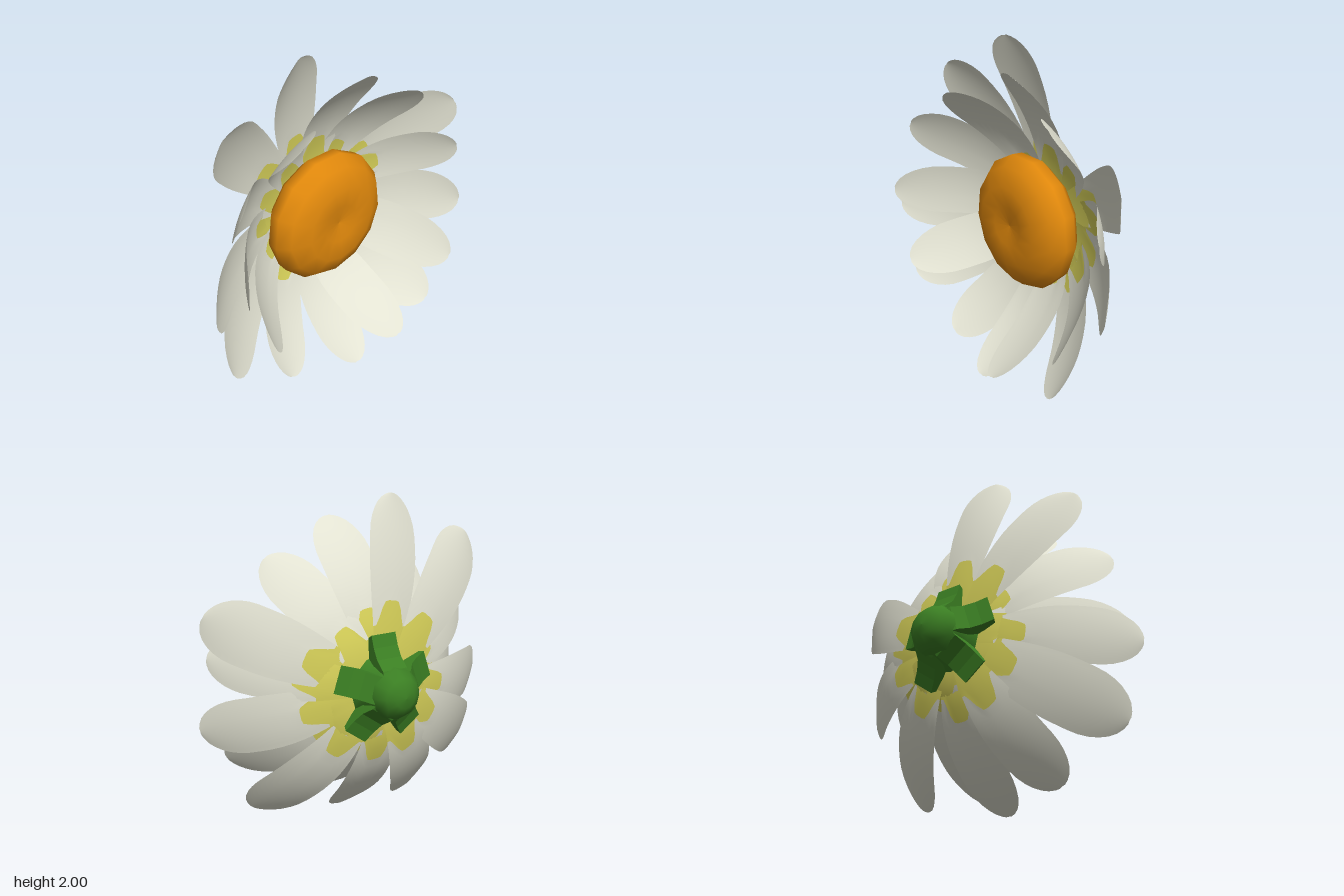
import * as THREE from 'three';

const mat = (name, color, side = THREE.FrontSide) => {
  const m = new THREE.MeshStandardMaterial({ color, side });
  m.name = name;
  return m;
};

const CX = 0.02, CY = 0.93, R0 = 0.08; // flower axis and radius where petals start

// Each petal: tip x, tip y, tip z, half width, yellow reach, twist
const PETALS = [
  [-0.17, 2.0, 0.01, 0.165, 0.5, 0.04], [0.14, 1.87, 0.22, 0.165, 0.46, 0],
  [0.52, 1.66, 0.25, 0.16, 0.43, 0], [0.96, 1.4, 0.14, 0.18, 0.52, -0.05],
  [0.91, 1.14, 0.23, 0.15, 0.54, 0], [0.97, 0.72, 0.23, 0.17, 0.5, 0],
  [0.75, 0.46, 0.37, 0.17, 0.47, 0], [0.63, 0.14, 0.3, 0.175, 0.48, 0],
  [0.25, 0.14, 0.43, 0.165, 0.41, 0], [0, 0.0, 0.33, 0.16, 0.48, 0],
  [-0.44, 0.07, 0.22, 0.165, 0.5, 0], [-0.87, 0.35, 0.23, 0.185, 0.48, 0],
  [-0.68, 0.53, 0.38, 0.16, 0.4, 0], [-0.98, 0.79, 0.25, 0.165, 0.48, 0],
  [-0.85, 0.95, 0.37, 0.155, 0.43, 0], [-0.81, 1.37, 0.26, 0.165, 0.42, 0],
  [-0.72, 1.73, 0.04, 0.185, 0.5, 0], [-0.38, 1.66, 0.28, 0.165, 0.39, 0],
];

// Grid surface from point(u, v), u in -1..1 across and v in 0..1 along
function surface(point, nu, nv) {
  const pos = [], idx = [];
  for (let j = 0; j <= nv; j++) {
    for (let i = 0; i <= nu; i++) pos.push(...point((2 * i) / nu - 1, j / nv));
  }
  for (let j = 0; j < nv; j++) {
    for (let i = 0; i < nu; i++) {
      const a = j * (nu + 1) + i, b = a + 1, c = a + nu + 1, d = c + 1;
      idx.push(a, c, b, b, c, d);
    }
  }
  const g = new THREE.BufferGeometry();
  g.setAttribute('position', new THREE.Float32BufferAttribute(pos, 3));
  g.setIndex(idx);
  g.computeVertexNormals();
  return g;
}

function petal([tx, ty, tz, W, reach, twist], i, white, yellow) {
  const dx = tx - CX, dy = ty - CY, R = Math.hypot(dx, dy);
  const cx = dx / R, cy = dy / R, L = R - R0;
  const z0 = -0.18 + (i % 2) * 0.015;
  // Narrow root, broad blade, rounded tip, forward curl, slight twist and cup
  const at = (u, t) => {
    const tip = t > 0.78 ? Math.sqrt(Math.max(0.012, 1 - ((t - 0.78) / 0.22) ** 2)) : 1;
    const w = W * (0.35 + 0.65 * THREE.MathUtils.smoothstep(t, -0.15, 0.7)) * tip;
    const r = R0 + L * t, s = u * w;
    const z = z0 + (tz - z0) * t ** 2.5 + (0.025 * u * u * t + twist * u * t ** 3) * tip;
    return [r * cx - s * cy, r * cy + s * cx, z];
  };
  // Edge of the yellow root: a blunt finger along the midline
  const edge = (u) =>
    (reach - 0.15 * THREE.MathUtils.smoothstep(Math.abs(u), 0.25, 0.9) - R0) / L;

  const g = new THREE.Group();
  g.name = 'petal';
  const root = new THREE.Mesh(surface((u, v) => at(u, v * edge(u)), 12, 5), yellow);
  root.name = 'petalRoot';
  const blade = new THREE.Mesh(surface((u, v) => {
    const e = edge(u);
    return at(u, e + (1 - e) * (1 - (1 - v) ** 1.7));
  }, 12, 14), white);
  blade.name = 'petalBlade';
  g.add(root, blade);
  return g;
}

// Turned shape about the z axis, from [radius, z] points with z rising
function turned(points, sides, material, name) {
  const g = new THREE.LatheGeometry(points.map((p) => new THREE.Vector2(...p)), sides);
  g.rotateX(Math.PI / 2);
  const m = new THREE.Mesh(g, material);
  m.name = name;
  return m;
}

export function createModel() {
  const white = mat('petalWhite', 0xe2e2d2, THREE.DoubleSide);
  const yellow = mat('petalYellow', 0xd8d25a, THREE.DoubleSide);
  const orange = mat('discOrange', 0xe0880c);
  const green = mat('calyxGreen', 0x3b7f23);

  const model = new THREE.Group();
  model.name = 'daisy';
  const flower = new THREE.Group();
  flower.name = 'flowerHead';
  flower.position.set(CX, CY, 0);
  model.add(flower);

  PETALS.forEach((p, i) => flower.add(petal(p, i, white, yellow)));

  // Domed centre with a dimple
  flower.add(turned([
    [0, -0.15], [0.18, -0.15], [0.33, -0.11], [0.4, -0.04], [0.405, 0.03],
    [0.35, 0.1], [0.24, 0.152], [0.12, 0.145], [0, 0.125],
  ], 13, orange, 'flowerCentre'));

  // Rounded green knob at the back
  flower.add(turned([
    [0, -0.437], [0.06, -0.43], [0.11, -0.4], [0.145, -0.35],
    [0.155, -0.28], [0.17, -0.22], [0.2, -0.175],
  ], 12, green, 'calyxKnob'));

  // Five blunt sepals, each sweeping out from the knob in a hollow curve
  const profile = new THREE.Shape([
    [0, -0.17], [0.3, -0.17], [0.32, -0.2], [0.25, -0.225], [0.19, -0.26], [0.14, -0.32], [0, -0.38],
  ].map((p) => new THREE.Vector2(...p)));
  const width = 0.16;
  const sepalGeo = new THREE.ExtrudeGeometry(profile, { depth: width, bevelEnabled: false });
  sepalGeo.translate(0, 0, -width / 2).rotateX(Math.PI / 2);
  for (let i = 0; i < 5; i++) {
    const sepal = new THREE.Mesh(sepalGeo, green);
    sepal.name = 'sepal';
    sepal.rotation.z = Math.PI / 2 + (i * Math.PI * 2) / 5;
    flower.add(sepal);
  }
  return model;
}
